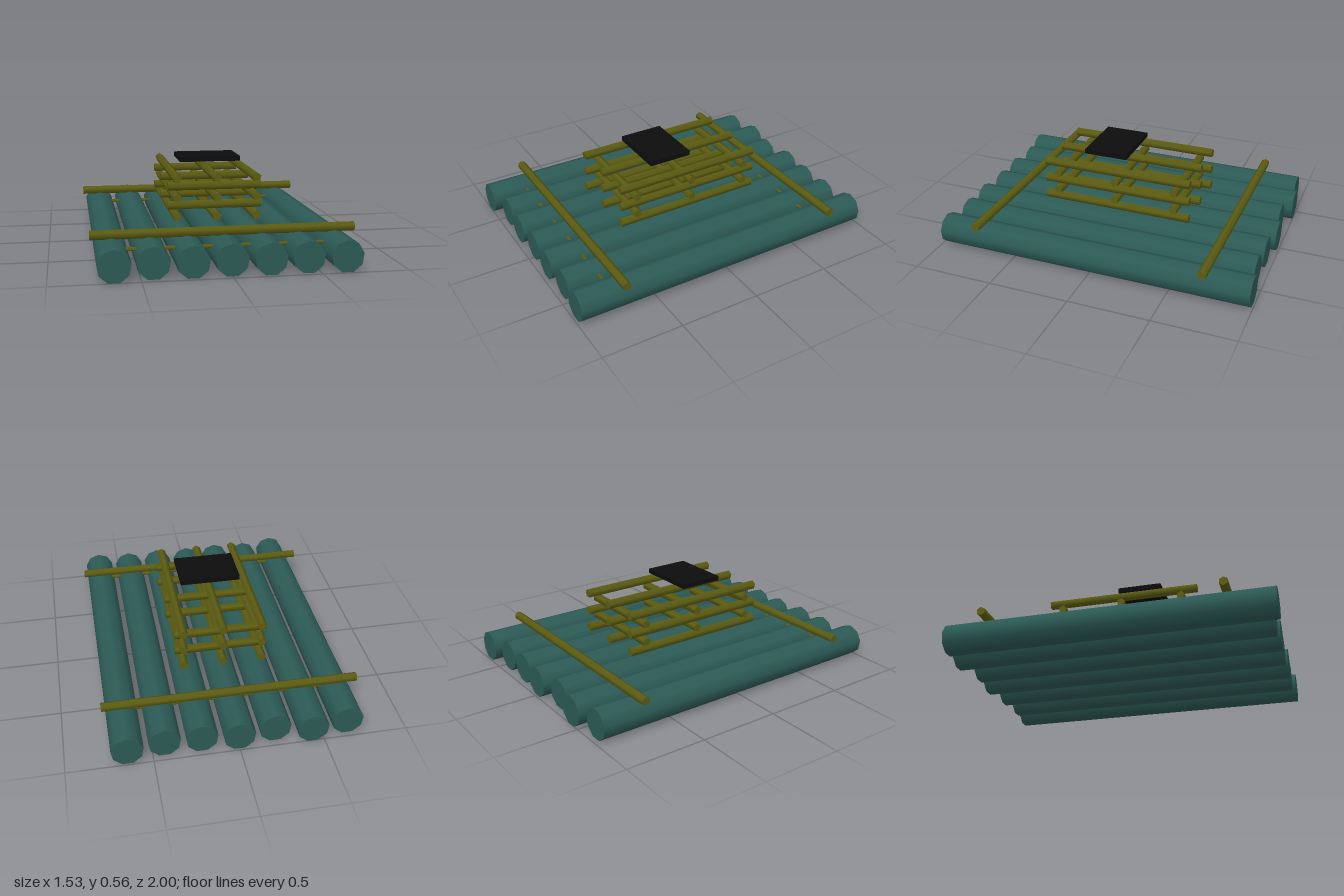
import * as THREE from 'three';

export function createModel() {
  const model = new THREE.Group();
  const logMat = new THREE.MeshStandardMaterial({ color: 0x2c5a55 });
  const poleMat = new THREE.MeshStandardMaterial({ color: 0x5c5c12 });
  const plateMat = new THREE.MeshStandardMaterial({ color: 0x0c0c0c });

  // a round bar lying along the x or z axis
  function bar(name, mat, axis, radius, length, sides, x, y, z, turn = 0) {
    const geo = new THREE.CylinderGeometry(radius, radius, length, sides, 1, false, turn);
    if (axis === 'x') geo.rotateZ(Math.PI / 2);
    else geo.rotateX(-Math.PI / 2);
    const mesh = new THREE.Mesh(geo, mat);
    mesh.name = name;
    mesh.position.set(x, y, z);
    return mesh;
  }

  // deck: seven logs with uneven ends [back z, front z]
  const deck = new THREE.Group();
  deck.name = 'deck';
  const ends = [
    [-0.968, 0.998], [-1, 0.96], [-0.956, 0.972], [-0.987, 0.964],
    [-0.965, 0.974], [-0.96, 0.967], [-0.99, 0.986],
  ];
  ends.forEach(([back, front], i) => {
    deck.add(bar('log', logMat, 'z', 0.0945, front - back, 9,
      (i - 3) * 0.2155, 0.0888, (back + front) / 2));
  });
  model.add(deck);

  // cross poles on top of the logs, thin ties running through them
  for (const s of [-1, 1]) {
    model.add(bar('crossPole', poleMat, 'x', 0.0275, 1.53, 6, 0, 0.2, s * 0.717, Math.PI / 6));
    model.add(bar('tie', poleMat, 'x', 0.0115, 1.2, 6, 0, 0.125, s * 0.717 + 0.048));
  }

  // stacked frame: alternating layers of three poles
  const stack = new THREE.Group();
  stack.name = 'poleStack';
  for (let layer = 0; layer < 5; layer++) {
    for (const k of [-1, 0, 1]) {
      const y = 0.234 + layer * 0.0575;
      stack.add(layer % 2 === 0
        ? bar('longPole', poleMat, 'z', 0.028, 0.955, 5, k * 0.24, y, 0.003)
        : bar('shortPole', poleMat, 'x', 0.0275, 0.57, 5, 0, y, k * 0.383));
    }
  }
  model.add(stack);

  // flat plate above the stack
  const plate = new THREE.Mesh(new THREE.BoxGeometry(0.376, 0.03, 0.276), plateMat);
  plate.name = 'plate';
  plate.position.set(-0.002, 0.543, 0.097);
  model.add(plate);

  return model;
}
